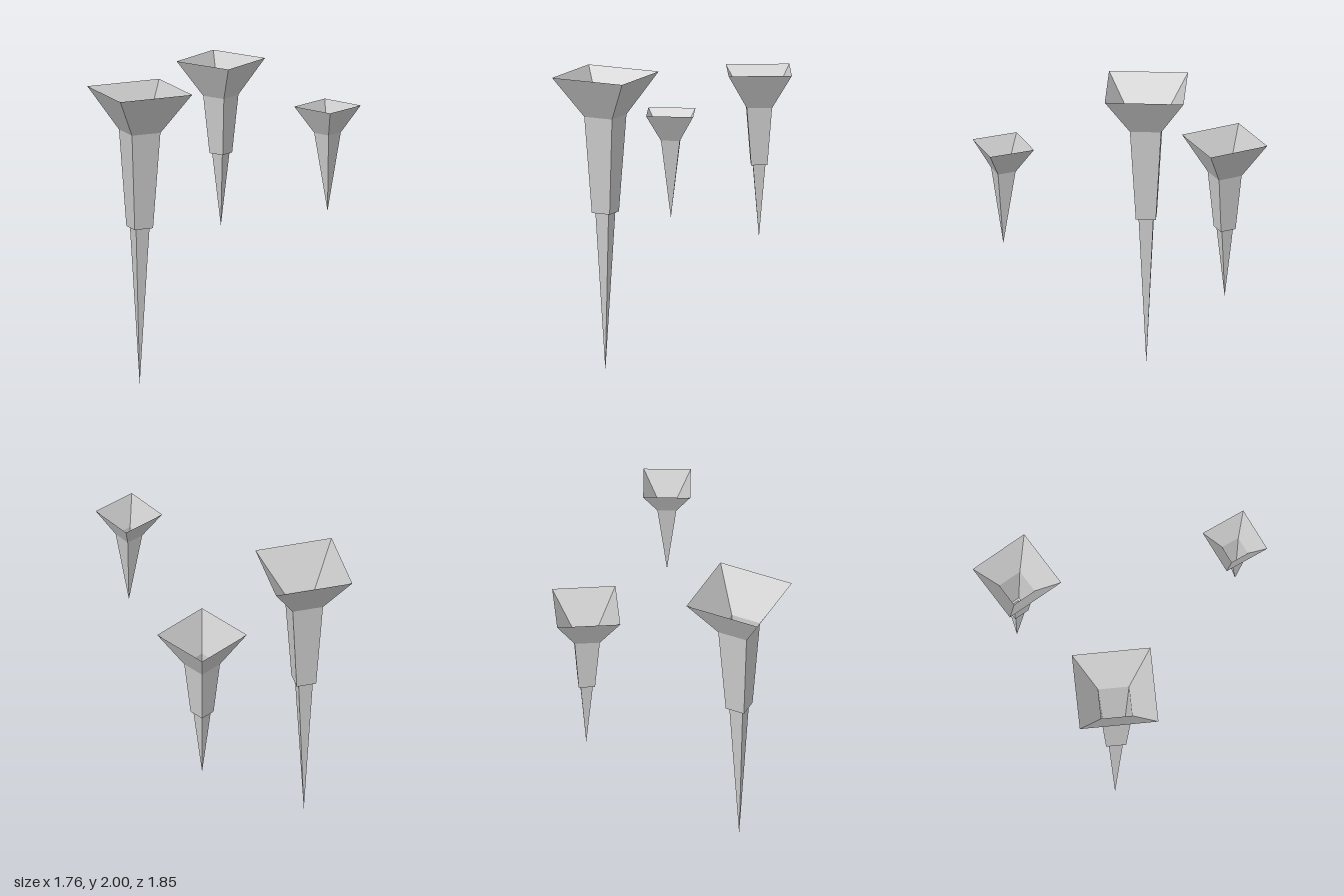
import * as THREE from 'three';

const material = new THREE.MeshStandardMaterial({
  color: 0xcccccc,
  flatShading: true,
  side: THREE.DoubleSide,
});

// Four-sided open shell; profile is [radius, height] from the bottom up
function shell(name, profile, turn) {
  const points = profile.map(([r, y]) => new THREE.Vector2(r, y));
  const geometry = new THREE.LatheGeometry(points, 4, -turn).toNonIndexed();
  geometry.computeVertexNormals();
  const mesh = new THREE.Mesh(geometry, material);
  mesh.name = name;
  return mesh;
}

// One hanging spike: tip, optional stepped shaft, flared open mouth
function spike({ name, x, z, turn, tip, step, neck, rim }) {
  const group = new THREE.Group();
  group.name = name;
  group.position.set(x, 0, z);
  const angle = THREE.MathUtils.degToRad(turn);
  if (step) {
    const [inner, outer, y] = step;
    group.add(shell('tip', [[0, tip], [inner, y]], angle));
    group.add(shell('ledge', [[inner, y], [outer, y]], angle));
    group.add(shell('shaft', [[outer, y], neck], angle));
  } else {
    group.add(shell('tip', [[0, tip], neck], angle));
  }
  group.add(shell('flaredMouth', [neck, rim], angle));
  return group;
}

export function createModel() {
  const model = new THREE.Group();
  model.name = 'hangingSpikes';
  const spikes = [
    { name: 'largeSpike', x: -0.547, z: 0.192, turn: 24.8, tip: 0,
      step: [0.069, 0.094, 1.065], neck: [0.146, 1.715], rim: [0.369, 1.99] },
    { name: 'mediumSpike', x: 0.055, z: -0.631, turn: -5.2, tip: 0.875,
      step: [0.058, 0.076, 1.37], neck: [0.118, 1.76], rim: [0.296, 2] },
    { name: 'smallSpike', x: 0.657, z: 0.701, turn: 0, tip: 1.27,
      neck: [0.088, 1.8], rim: [0.22, 1.98] },
  ];
  for (const s of spikes) model.add(spike(s));
  return model;
}
